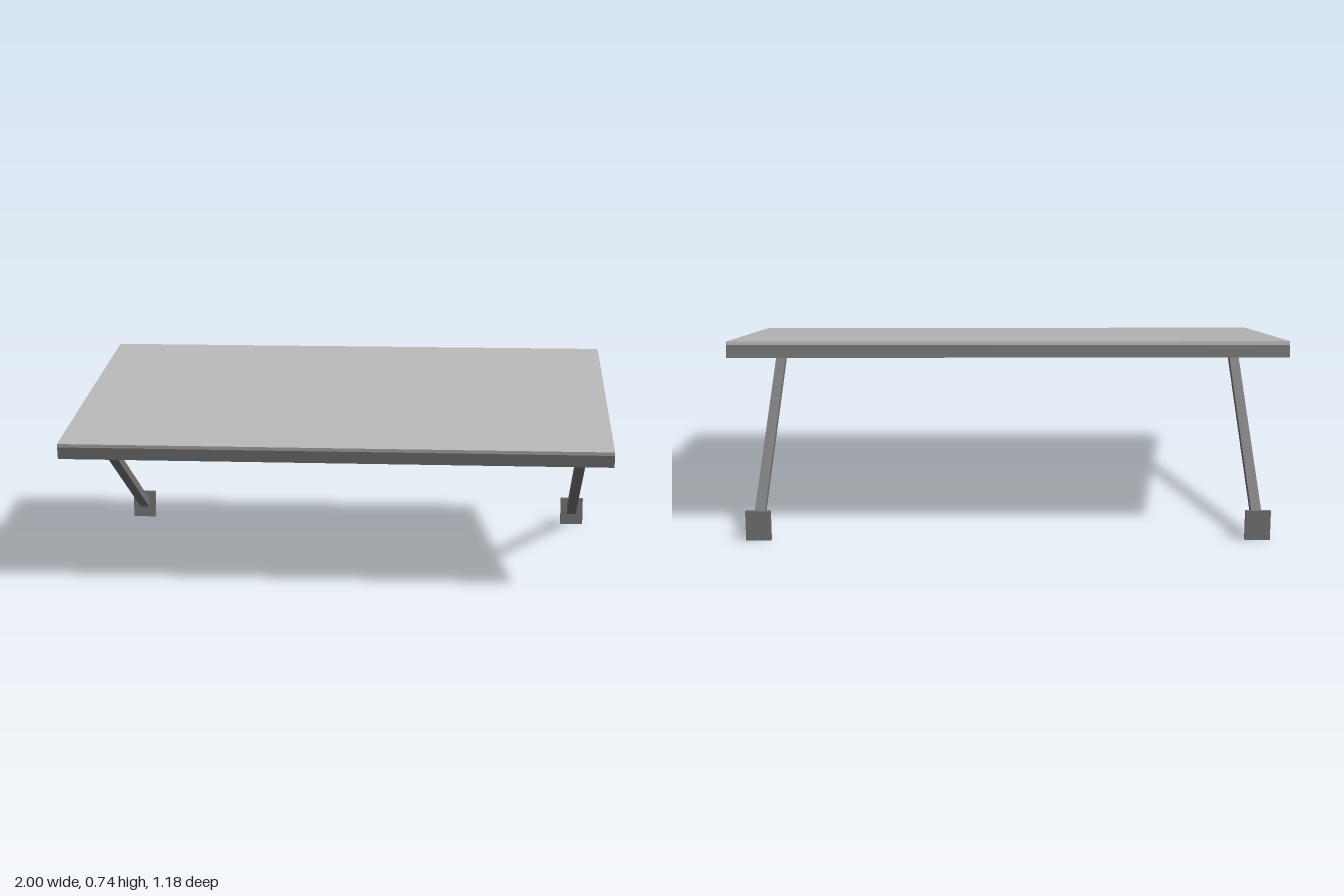
import * as THREE from 'three';

export function createModel() {
  const model = new THREE.Group();
  model.name = 'canopy';
  const panelMat = new THREE.MeshStandardMaterial({ color: 0xb8b8b8 });
  panelMat.name = 'light grey panel';
  const frameMat = new THREE.MeshStandardMaterial({ color: 0x767676 });
  frameMat.name = 'dark grey metal';

  const add = (parent, name, geometry, material, x, y, z) => {
    const mesh = new THREE.Mesh(geometry, material);
    mesh.name = name;
    mesh.position.set(x, y, z);
    parent.add(mesh);
    return mesh;
  };
  const box = (parent, name, mat, w, h, d, x, y, z) =>
    add(parent, name, new THREE.BoxGeometry(w, h, d), mat, x, y, z);

  // Sloping roof; its local y = 0 is the top surface
  const roof = new THREE.Group();
  roof.name = 'roof';
  roof.position.set(0, 0.6395, 0.005);
  roof.rotation.x = THREE.MathUtils.degToRad(10);
  model.add(roof);

  const length = 1.186, panel = 0.013, rail = 0.036;
  const endDepth = 0.045, sideDepth = 0.04;
  box(roof, 'roofPanel', panelMat, 2, panel, length, 0, -panel / 2, 0);

  // Front and back rails, slightly deeper than the others
  for (const [name, s] of [['frontRail', 1], ['backRail', -1]]) {
    box(roof, name, frameMat, 2, endDepth, rail, 0, -panel - endDepth / 2, s * (length - rail) / 2);
  }
  // Side rails and the middle beam between them
  for (const [name, x] of [['leftRail', 1 - rail / 2], ['rightRail', rail / 2 - 1], ['middleBeam', 0]]) {
    box(roof, name, frameMat, rail, sideDepth, length - 2 * rail, x, -panel - sideDepth / 2, 0);
  }

  // Diagonal struts, cut upright at the wall and along the slope under the panel
  const profile = new THREE.Shape([
    [-0.565, 0.042], [0.4016, 0.556], [0.348, 0.566], [-0.565, 0.08],
  ].map(([z, y]) => new THREE.Vector2(z, y)));
  const width = 0.037;
  const strutGeo = new THREE.ExtrudeGeometry(profile, { depth: width, bevelEnabled: false });
  strutGeo.translate(0, 0, -width / 2).rotateY(-Math.PI / 2);

  for (const [side, s] of [['left', 1], ['right', -1]]) {
    add(model, side + 'Strut', strutGeo, frameMat, s * 0.908, 0, 0);
    box(model, side + 'WallPlate', frameMat, 0.092, 0.11, 0.016, s * 0.909, 0.055, -0.572);
  }
  return model;
}
